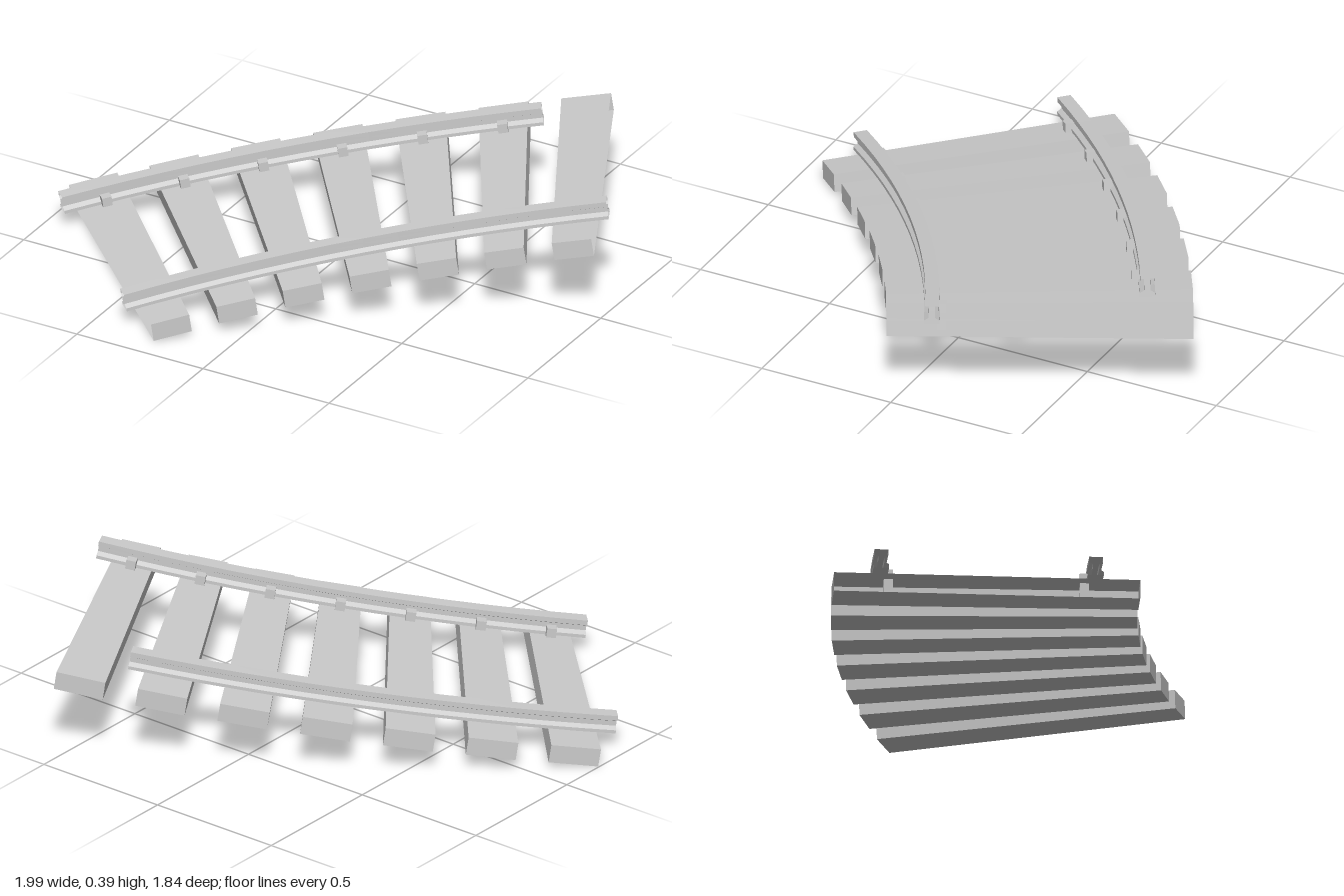
import * as THREE from 'three';

const material = new THREE.MeshStandardMaterial({ color: 0xcccccc, flatShading: true, side: THREE.DoubleSide });

// Curved ramp: plan centre, middle radius, climb per degree
const CX = 3.04, CZ = 4.155, RADIUS = 5.14, CLIMB = 0.0132;
const FIRST = 45.45, STEP = 2.88, TIES = 7;
const TIE_H = 0.066, TIE_L = 1.054, GAUGE = 0.37;

// Local frame on the ramp at angle t: x outward, y up, z uphill
function frame(t) {
  const a = THREE.MathUtils.degToRad(t);
  const pitch = Math.atan(CLIMB / (RADIUS * Math.PI / 180));
  const out = new THREE.Vector3(-Math.cos(a), 0, -Math.sin(a));
  const uphill = new THREE.Vector3(Math.sin(a) * Math.cos(pitch), Math.sin(pitch), -Math.cos(a) * Math.cos(pitch));
  const up = uphill.clone().cross(out);
  return new THREE.Matrix4().makeBasis(out, up, uphill).setPosition(
    CX + out.x * RADIUS, 0.0125 + CLIMB * (t - FIRST), CZ + out.z * RADIUS);
}

function addMesh(parent, geometry, name) {
  const mesh = new THREE.Mesh(geometry, material);
  mesh.name = name;
  parent.add(mesh);
  return mesh;
}

// Tapered beam, narrower towards the inside of the curve
function tieGeometry(openSide) {
  const g = new THREE.BoxGeometry(TIE_L, TIE_H, 1);
  g.translate(0, TIE_H / 2, 0);
  const p = g.attributes.position;
  for (let i = 0; i < p.count; i++) {
    p.setZ(i, p.getZ(i) * (p.getX(i) > 0 ? 0.173 : 0.137));
  }
  // The joining faces of the first and last tie are left open
  if (openSide !== null) {
    const index = Array.from(g.index.array);
    index.splice(openSide === 'uphill' ? 24 : 30, 6);
    g.setIndex(index);
  }
  g.clearGroups();
  g.computeVertexNormals();
  return g;
}

// I-shaped section swept along the curve
function railGeometry(offset, start, end) {
  const half = [[0.027, 0], [0.027, 0.012], [0.011, 0.022], [0.011, 0.04], [0.024, 0.047], [0.024, 0.065]];
  const section = [...half, ...half.map(([x, y]) => [-x, y]).reverse()];
  const n = section.length, segments = 14;
  const positions = [], index = [];
  for (let i = 0; i <= segments; i++) {
    const m = frame(start + (end - start) * i / segments);
    for (const [x, y] of section) {
      positions.push(...new THREE.Vector3(offset + x, TIE_H + y, 0).applyMatrix4(m).toArray());
    }
  }
  for (let i = 0; i < segments; i++) {
    for (let j = 0; j < n; j++) {
      const k = (j + 1) % n;
      const a = i * n + j, b = i * n + k, c = b + n, d = a + n;
      index.push(a, b, c, a, c, d);
    }
  }
  const g = new THREE.BufferGeometry();
  g.setAttribute('position', new THREE.Float32BufferAttribute(positions, 3));
  g.setIndex(index);
  const flat = g.toNonIndexed();
  flat.computeVertexNormals();
  return flat;
}

export function createModel() {
  const model = new THREE.Group();
  model.name = 'curvedTrackRamp';

  // Rails, the inner one running on past the last tie
  addMesh(model, railGeometry(GAUGE, 43.9, 61.3), 'outerRail');
  addMesh(model, railGeometry(-GAUGE, 44.0, 64.2), 'innerRail');

  // Ties with a spike on the track side of each rail
  const spike = new THREE.BoxGeometry(0.032, 0.1, 0.034).translate(0, 0.05, 0);
  for (let i = 0; i < TIES; i++) {
    const group = new THREE.Group();
    group.name = `tieGroup${i + 1}`;
    frame(FIRST + STEP * i).decompose(group.position, group.quaternion, group.scale);
    const open = i === 0 ? 'downhill' : i === TIES - 1 ? 'uphill' : null;
    addMesh(group, tieGeometry(open), 'tie');
    for (const side of [1, -1]) {
      if (side === 1 && i === TIES - 1) continue;
      addMesh(group, spike, side === 1 ? 'outerSpike' : 'innerSpike').position.x = side * (GAUGE - 0.033);
    }
    model.add(group);
  }
  return model;
}
